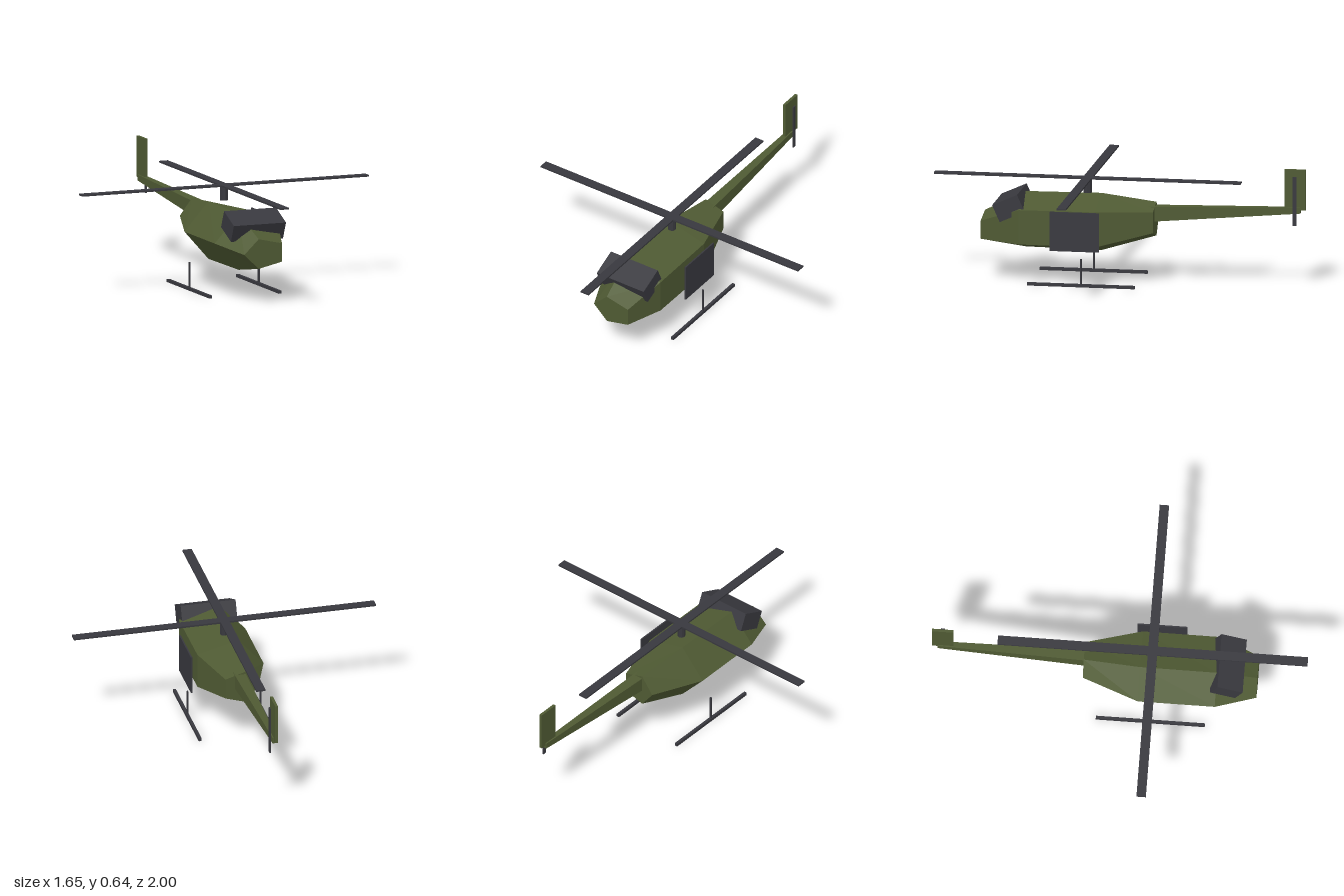
import * as THREE from 'three';

// Closed loft through polygon rings, listed front to back: { z, y, rx, ry }
function loft(rings, sides, startAngle) {
  const pos = [], idx = [];
  for (const r of rings) {
    for (let j = 0; j < sides; j++) {
      const a = startAngle + (j / sides) * Math.PI * 2;
      pos.push(Math.cos(a) * r.rx, r.y + Math.sin(a) * r.ry, r.z);
    }
  }
  const last = (rings.length - 1) * sides;
  for (let i = 0; i < last; i += sides) {
    for (let j = 0; j < sides; j++) {
      const k = (j + 1) % sides;
      const a = i + j, b = i + k, c = a + sides, d = b + sides;
      idx.push(a, c, b, b, c, d);
    }
  }
  for (let j = 1; j < sides - 1; j++) {
    idx.push(0, j, j + 1, last, last + j + 1, last + j);
  }
  const geo = new THREE.BufferGeometry();
  geo.setAttribute('position', new THREE.Float32BufferAttribute(pos, 3));
  geo.setIndex(idx);
  const flat = geo.toNonIndexed();
  flat.computeVertexNormals();
  return flat;
}

export function createModel() {
  const model = new THREE.Group();
  model.name = 'helicopter';

  const green = new THREE.MeshStandardMaterial({ color: 0x4f5a33, flatShading: true });
  green.name = 'olive green';
  const dark = new THREE.MeshStandardMaterial({ color: 0x38383e, flatShading: true });
  dark.name = 'dark grey';

  function add(name, geo, mat, x = 0, y = 0, z = 0) {
    const mesh = new THREE.Mesh(geo, mat);
    mesh.name = name;
    mesh.position.set(x, y, z);
    model.add(mesh);
    return mesh;
  }
  const box = (w, h, d) => new THREE.BoxGeometry(w, h, d);

  // Five-sided fuselage with one edge pointing to -x
  add('fuselage', loft([
    { z: 0.735, y: 0.27, rx: 0.12, ry: 0.084 },
    { z: 0.52, y: 0.304, rx: 0.2, ry: 0.158 },
    { z: 0.11, y: 0.304, rx: 0.2, ry: 0.163 },
    { z: -0.19, y: 0.337, rx: 0.1, ry: 0.096 },
  ], 5, Math.PI), green);

  // Tapered square tail boom
  const s = Math.SQRT2;
  add('tailBoom', loft([
    { z: -0.15, y: 0.371, rx: 0.031 * s, ry: 0.041 * s },
    { z: -0.97, y: 0.417, rx: 0.014 * s, ry: 0.016 * s },
  ], 4, Math.PI / 4), green);

  // Tail
  add('tailFin', box(0.015, 0.22, 0.115), green, 0, 0.527, -0.9425);
  add('tailRotor', box(0.007, 0.265, 0.02), dark, 0.023, 0.468, -0.943);

  // Tilted windscreen block and side door
  add('windscreen', box(0.3, 0.1, 0.147), dark, 0, 0.401, 0.577).rotation.x = 0.42;
  add('sideDoor', box(0.008, 0.212, 0.265), dark, 0.2, 0.297, 0.212);

  // Main rotor
  add('rotorMast', new THREE.CylinderGeometry(0.022, 0.022, 0.08, 8), dark, 0, 0.512, 0.175);
  add('rotorBladesAcross', box(1.65, 0.009, 0.05), dark, 0, 0.552, 0.175);
  add('rotorBladesAlong', box(0.05, 0.009, 1.65), dark, 0, 0.552, 0.175);

  // Landing skids with one strut each
  for (const side of [-1, 1]) {
    const label = side > 0 ? 'left' : 'right';
    add(label + 'Skid', box(0.016, 0.016, 0.58), dark, side * 0.2, 0.008, 0.177);
    add(label + 'SkidStrut', box(0.009, 0.14, 0.009), dark, side * 0.2, 0.082, 0.177);
  }

  return model;
}
